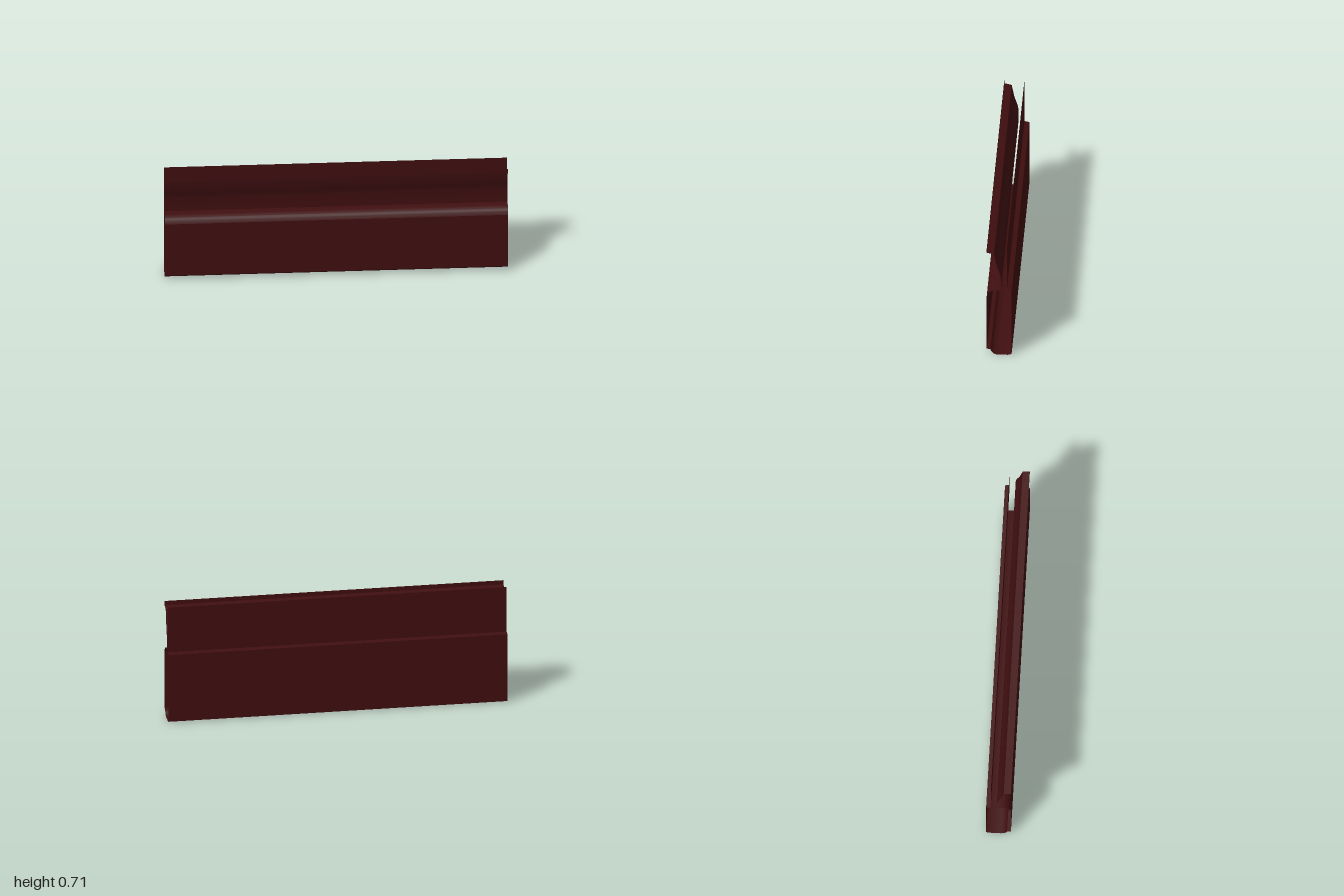
import * as THREE from 'three';
import { toCreasedNormals } from 'three/addons/utils/BufferGeometryUtils.js';

const material = new THREE.MeshStandardMaterial({ color: 0x400f10, side: THREE.DoubleSide });

// Sweeps an open [z, y] cross-section along x into a thin sheet.
function sheet(name, profile) {
  const positions = [];
  const index = [];
  profile.forEach(([z, y], i) => {
    positions.push(-1, y, z, 1, y, z);
    if (i === 0) return;
    const a = 2 * (i - 1);
    index.push(a + 2, a + 3, a + 1, a + 2, a + 1, a);
  });
  const geometry = new THREE.BufferGeometry();
  geometry.setAttribute('position', new THREE.Float32BufferAttribute(positions, 3));
  geometry.setIndex(index);
  const mesh = new THREE.Mesh(toCreasedNormals(geometry, 0.6), material);
  mesh.name = name;
  return mesh;
}

// Samples a smooth curve through a few [z, y] points.
function smooth(points, steps) {
  const curve = new THREE.SplineCurve(points.map(([z, y]) => new THREE.Vector2(z, y)));
  return curve.getPoints(steps).map((p) => [p.x, p.y]);
}

export function createModel() {
  const group = new THREE.Group();
  group.name = 'sheetMetalSlat';

  const zFront = 0.0725, zBack = -0.0725, zWeb = -0.01, zFlange = -0.045;

  group.add(
    // Upright lip and its inward return
    sheet('frontLip', [[zFront, 0.706], [zFront, 0.68], [0.03, 0.67]]),
    // Recessed wall curving back below the lip
    sheet('recessedWeb', [
      ...smooth([[0.03, 0.67], [0.022, 0.63], [0.012, 0.585], [-0.005, 0.535], [zWeb, 0.5]], 12),
      [zWeb, 0.43],
    ]),
    // Rounded shoulder leading to the front panel
    sheet('shoulder', [
      [zWeb, 0.43],
      ...smooth([[0.03, 0.43], [0.05, 0.422], [0.064, 0.408], [zFront, 0.39]], 10),
    ]),
    sheet('frontPanel', [[zFront, 0.39], [zFront, 0.038]]),
    // Small step and curved underside
    sheet('bottomTray', [
      [zFront, 0.038], [0.05, 0.034],
      ...smooth([[0.048, 0.026], [0.036, 0.01], [0.015, 0]], 6),
      [-0.05, 0], [zBack, 0.006],
    ]),
    sheet('backPanel', [[zBack, 0.006], [zBack, 0.424]]),
    // Step in to the tall rear flange
    sheet('backStep', [[zBack, 0.424], [zFlange, 0.43]]),
    sheet('rearFlange', [[zFlange, 0.43], [zFlange, 0.71]]),
  );
  return group;
}
